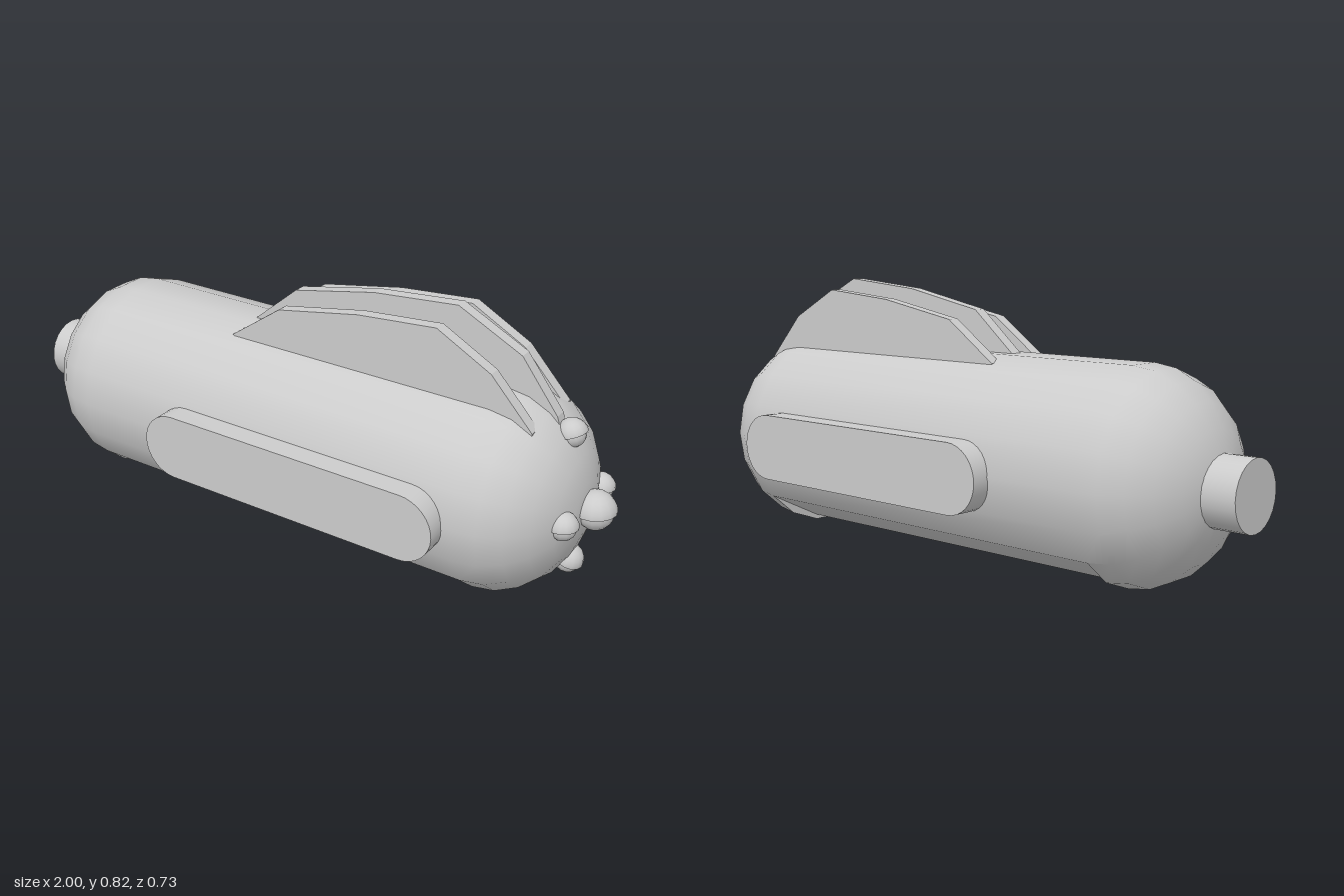
import * as THREE from 'three';
import { toCreasedNormals } from 'three/addons/utils/BufferGeometryUtils.js';

const grey = new THREE.MeshStandardMaterial({ color: 0xcccccc });
const greyDouble = new THREE.MeshStandardMaterial({ color: 0xcccccc, side: THREE.DoubleSide });
const R = 0.313; // hull radius and axis height

function add(parent, name, geometry, material = grey) {
  const mesh = new THREE.Mesh(geometry, material);
  mesh.name = name;
  parent.add(mesh);
  return mesh;
}

// Capsule along x with domed ends and a recessed, flattened belly
function hullGeometry() {
  const steps = 6;
  const points = [];
  for (let i = 0; i <= steps; i++) {
    const a = (i / steps) * Math.PI / 2;
    points.push(new THREE.Vector2(R * Math.sin(a), -0.645 - 0.27 * Math.cos(a)));
  }
  const midStart = points.length;
  points.push(new THREE.Vector2(R, -0.645), new THREE.Vector2(R, 0.66));
  for (let i = 0; i <= steps; i++) {
    const a = (i / steps) * Math.PI / 2;
    points.push(new THREE.Vector2(R * Math.cos(a), 0.66 + 0.265 * Math.sin(a)));
  }
  const geo = new THREE.LatheGeometry(points, 18);
  geo.rotateZ(-Math.PI / 2).translate(0, R, 0);

  // lift the belly of the middle section onto flat panels
  const pos = geo.attributes.position;
  for (let i = 0; i < pos.count; i++) {
    const row = i % points.length;
    const z = Math.abs(pos.getZ(i));
    if ((row === midStart || row === midStart + 1) && pos.getY(i) < 0.15 && z < 0.235) {
      pos.setY(i, 0.02 + Math.max(0, z - 0.055) * 0.495);
    }
  }
  return toCreasedNormals(geo, 0.5);
}

// Rounded side pod, extruded along z
function podGeometry() {
  const r = 0.102, x0 = -0.253, x1 = 0.531;
  const shape = new THREE.Shape();
  shape.absarc(x1, 0, r, -Math.PI / 2, Math.PI / 2);
  shape.absarc(x0, 0, r, Math.PI / 2, Math.PI * 1.5);
  shape.closePath();
  const geo = new THREE.ExtrudeGeometry(shape, { depth: 0.12, bevelEnabled: false, curveSegments: 8 });
  return toCreasedNormals(geo, 0.5);
}

// Thin dorsal fin, centred on its own z
function finGeometry(outline) {
  const shape = new THREE.Shape(outline.map(([x, y]) => new THREE.Vector2(x, y)));
  const depth = 0.038;
  return new THREE.ExtrudeGeometry(shape, { depth, bevelEnabled: false }).translate(0, 0, -depth / 2);
}

// Ball with a slightly larger half-shell lid
function makeEye(name, x, y, z, r, tilt) {
  const eye = new THREE.Group();
  eye.name = name;
  add(eye, 'eyeball', new THREE.SphereGeometry(r, 14, 10));
  const lidR = r * 1.14;
  add(eye, 'eyelid', new THREE.SphereGeometry(lidR, 14, 6, 0, Math.PI * 2, 0, Math.PI / 2), greyDouble);
  const rim = add(eye, 'eyelidRim', new THREE.RingGeometry(r * 0.9, lidR, 14), greyDouble);
  rim.rotation.x = Math.PI / 2;
  eye.position.set(x, y, z);
  eye.rotation.z = tilt;
  return eye;
}

export function createModel() {
  const model = new THREE.Group();
  model.name = 'capsuleCraft';

  add(model, 'hull', hullGeometry());

  // Rear nozzle
  const nozzle = add(model, 'nozzle', new THREE.CylinderGeometry(0.101, 0.101, 0.16, 24));
  nozzle.rotation.z = Math.PI / 2;
  nozzle.position.set(-0.92, 0.304, 0);

  // Side pods
  for (const side of [1, -1]) {
    const pod = add(model, side > 0 ? 'leftPod' : 'rightPod', podGeometry());
    pod.position.set(0, 0.304, side > 0 ? 0.246 : -0.366);
  }

  // Dorsal fins
  const middle = [[-0.2, 0.61], [-0.1, 0.52], [0.7, 0.48], [0.83, 0.53], [0.815, 0.575],
    [0.7, 0.725], [0.5, 0.825], [0.23, 0.8], [-0.04, 0.745]];
  const outer = [[-0.2, 0.6], [-0.1, 0.5], [0.7, 0.47], [0.79, 0.545], [0.79, 0.56],
    [0.66, 0.7], [0.49, 0.792], [0.24, 0.77], [-0.03, 0.72]];
  add(model, 'middleFin', finGeometry(middle)).position.z = 0.002;
  add(model, 'leftFin', finGeometry(outer)).position.z = 0.104;
  add(model, 'rightFin', finGeometry(outer)).position.z = -0.102;

  // Cluster of lidded eyes on the nose
  model.add(
    makeEye('centreEye', 0.94, 0.311, -0.003, 0.054, 0.08),
    makeEye('leftEye', 0.9, 0.31, 0.12, 0.039, 0.08),
    makeEye('rightEye', 0.9, 0.31, -0.132, 0.039, 0.08),
    makeEye('upperEye', 0.852, 0.526, -0.003, 0.039, 0.35),
    makeEye('lowerEye', 0.875, 0.133, -0.003, 0.041, -0.35),
  );
  return model;
}
